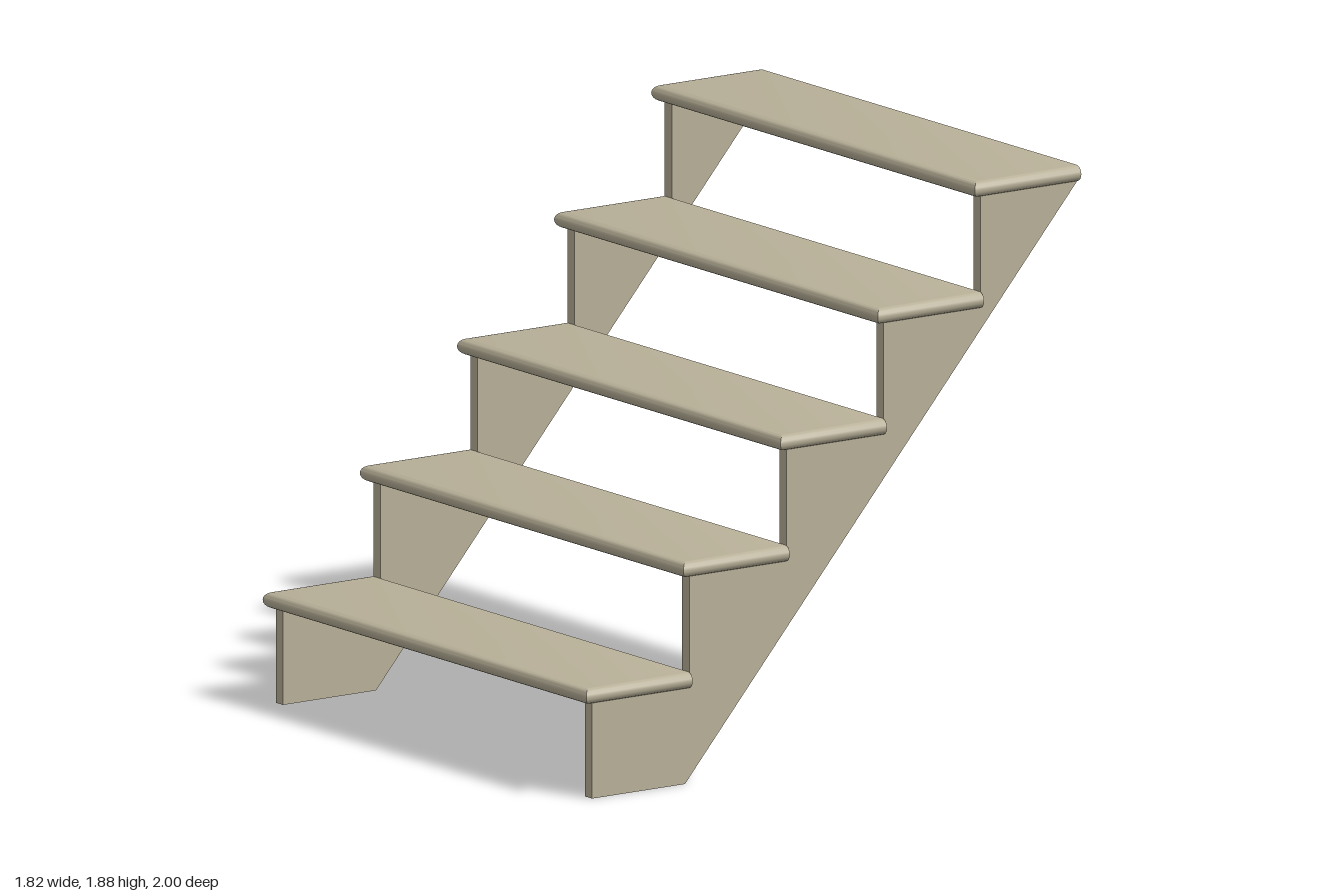
import * as THREE from 'three';
import { toCreasedNormals } from 'three/addons/utils/BufferGeometryUtils.js';

const STEPS = 5, RISE = 0.375, RUN = 0.3925;
const HALF_WIDTH = 0.91, DEPTH = 0.43, THICK = 0.054;

// Tread: bullnose on the front and both ends, flat back; front edge at z = 0, top at y = 0
function treadGeometry() {
  const r = THICK / 2, n = 10, pos = [];
  const ring = (i) => {
    const a = -Math.PI / 2 + (Math.PI * i) / n;
    const inset = r * (1 - Math.cos(a)), y = -r + r * Math.sin(a), w = HALF_WIDTH - inset;
    return [[-w, y, -DEPTH], [-w, y, -inset], [w, y, -inset], [w, y, -DEPTH]];
  };
  const quad = (a, b, c, d) => pos.push(...a, ...b, ...c, ...a, ...c, ...d);
  for (let i = 0; i < n; i++) {
    const lo = ring(i), hi = ring(i + 1);
    for (let k = 0; k < 4; k++) {
      const m = (k + 1) % 4;
      quad(lo[k], lo[m], hi[m], hi[k]);
    }
  }
  quad(...ring(n));
  quad(...ring(0).reverse());
  const g = new THREE.BufferGeometry();
  g.setAttribute('position', new THREE.Float32BufferAttribute(pos, 3));
  return toCreasedNormals(g, Math.PI / 5);
}

// Stringer: sawtooth side board, drawn with shape x = -z
function stringerGeometry(width) {
  const shape = new THREE.Shape();
  shape.moveTo(-0.585, 0);
  shape.lineTo(1, STEPS * RISE - THICK);
  for (let i = STEPS - 1; i >= 0; i--) {
    const z = 0.96 - i * RUN;
    shape.lineTo(-z, (i + 1) * RISE - THICK);
    shape.lineTo(-z, i ? i * RISE - THICK : 0);
  }
  const g = new THREE.ExtrudeGeometry(shape, { depth: width, bevelEnabled: false });
  g.translate(0, 0, -width / 2);
  g.rotateY(Math.PI / 2);
  return g;
}

export function createModel() {
  const group = new THREE.Group();
  group.name = 'openStaircase';
  const wood = new THREE.MeshStandardMaterial({ color: 0xb8b098 });
  wood.name = 'paleWood';

  const tread = treadGeometry();
  for (let i = 0; i < STEPS; i++) {
    const mesh = new THREE.Mesh(tread, wood);
    mesh.name = `tread${i + 1}`;
    mesh.position.set(0, (i + 1) * RISE, 1 - i * RUN);
    group.add(mesh);
  }

  const stringer = stringerGeometry(0.04);
  for (const [name, x] of [['leftStringer', 0.867], ['rightStringer', -0.87]]) {
    const mesh = new THREE.Mesh(stringer, wood);
    mesh.name = name;
    mesh.position.x = x;
    group.add(mesh);
  }
  return group;
}
